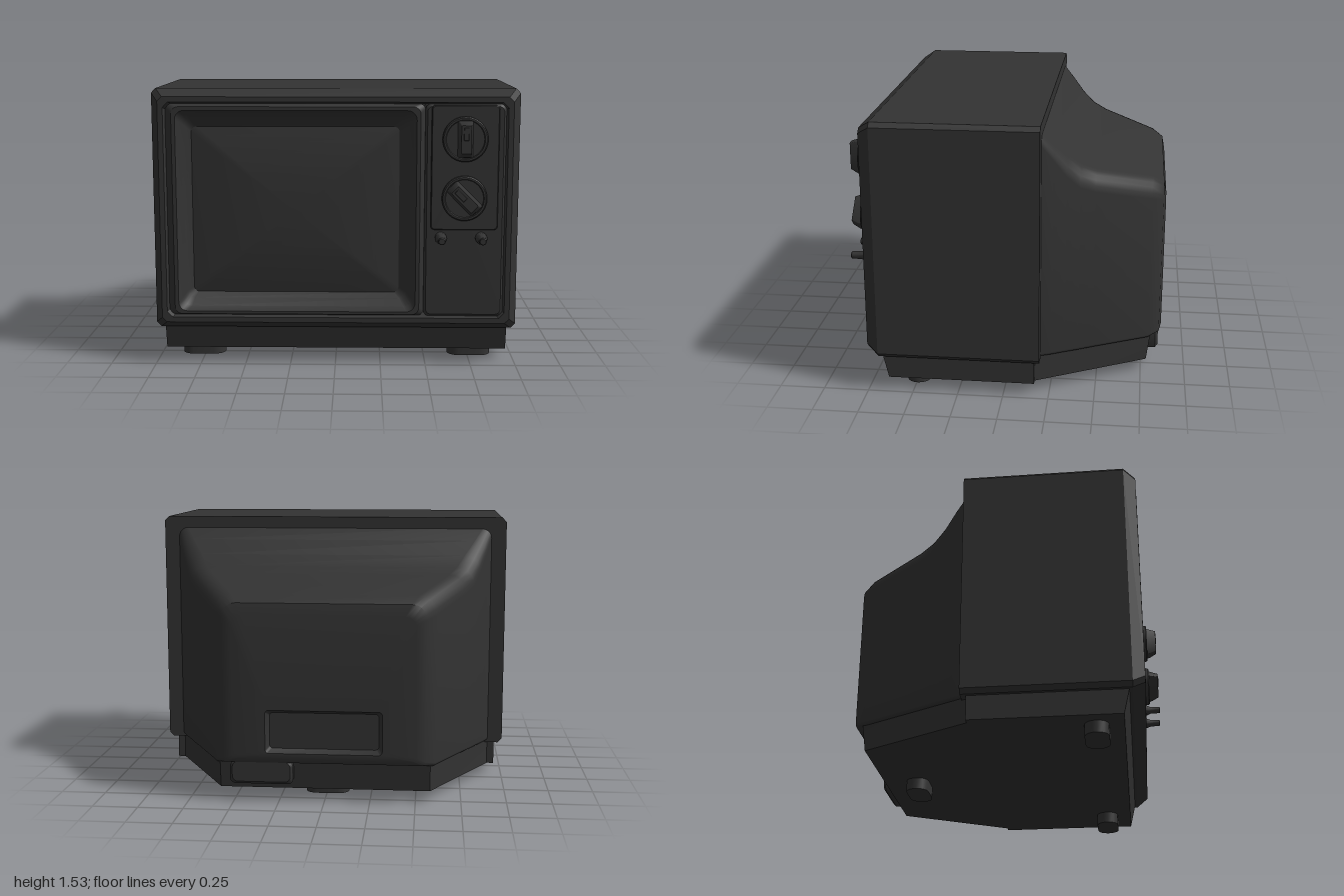
import * as THREE from 'three';
import { toCreasedNormals } from 'three/addons/utils/BufferGeometryUtils.js';

const material = new THREE.MeshStandardMaterial({ color: 0x333333 });

function mesh(name, geometry, parent) {
  const m = new THREE.Mesh(geometry, material);
  m.name = name;
  parent.add(m);
  return m;
}

// Rounded rectangle facing +z, counter-clockwise; rb is the bottom corner radius
function ring(x0, x1, y0, y1, z, r, rb = r, seg = 5) {
  const pts = [];
  const corners = [[x1 - rb, y0 + rb, rb, -90], [x1 - r, y1 - r, r, 0],
    [x0 + r, y1 - r, r, 90], [x0 + rb, y0 + rb, rb, 180]];
  for (const [cx, cy, rad, start] of corners) {
    for (let i = 0; i <= seg; i++) {
      const a = THREE.MathUtils.degToRad(start + 90 * i / seg);
      pts.push(new THREE.Vector3(cx + rad * Math.cos(a), cy + rad * Math.sin(a), z));
    }
  }
  return pts;
}

// Skin through matching rings, optionally closed at either end
function loft(rings, capStart = true, capEnd = true, crease = 0.5) {
  const pos = [];
  const tri = (...v) => v.forEach((p) => pos.push(p.x, p.y, p.z));
  const n = rings[0].length;
  for (let k = 0; k < rings.length - 1; k++) {
    const a = rings[k], b = rings[k + 1];
    for (let i = 0; i < n; i++) {
      const j = (i + 1) % n;
      tri(a[i], a[j], b[j]);
      tri(a[i], b[j], b[i]);
    }
  }
  const cap = (r, flip) => {
    const c = r.reduce((s, p) => s.add(p), new THREE.Vector3()).divideScalar(n);
    for (let i = 0; i < n; i++) {
      const j = (i + 1) % n;
      if (flip) tri(c, r[j], r[i]); else tri(c, r[i], r[j]);
    }
  };
  if (capStart) cap(rings[0], true);
  if (capEnd) cap(rings[rings.length - 1], false);
  const g = new THREE.BufferGeometry();
  g.setAttribute('position', new THREE.Float32BufferAttribute(pos, 3));
  return toCreasedNormals(g, crease);
}

// Raised plate with bevelled front edge
function plate(x0, x1, y0, y1, z0, z1, r, b) {
  return loft([ring(x0, x1, y0, y1, z0, r), ring(x0, x1, y0, y1, z1 - b, r),
    ring(x0 + b, x1 - b, y0 + b, y1 - b, z1, r)]);
}

export function createModel() {
  const tv = new THREE.Group();
  tv.name = 'television';

  // Cabinet: chamfered front edge, then a lip and the front recess
  const cab = (d, z, r) => ring(-1 + d, 1 - d, 0.2 + d, 1.53 - d, z, r, r, 1);
  mesh('cabinet', loft([cab(0, -0.2, 0.025), cab(0, 0.69, 0.025), cab(0.042, 0.755, 0.025),
    cab(0.07, 0.755, 0.03), cab(0.08, 0.73, 0.03), cab(0.08, 0.6, 0.03)], true, true, 0.3), tv);

  // Rear housing: starts at the floor of the hand recess and widens towards the cabinet
  const housing = [
    ring(-0.30, 0.30, 0.30, 0.50, -0.82, 0.02),
    ring(-0.32, 0.32, 0.28, 0.52, -0.86, 0.02),
  ];
  const stations = [ // z, half width, bottom, top, top radius
    [-0.86, 0.50, 0.25, 1.04, 0.06], [-0.847, 0.555, 0.225, 1.105, 0.08],
    [-0.785, 0.61, 0.21, 1.145, 0.1], [-0.48, 0.77, 0.21, 1.225, 0.1],
    [-0.40, 0.815, 0.21, 1.26, 0.1], [-0.33, 0.85, 0.21, 1.32, 0.09],
    [-0.26, 0.888, 0.21, 1.40, 0.07], [-0.19, 0.92, 0.21, 1.475, 0.05]];
  for (const [z, w, y0, y1, r] of stations) housing.push(ring(-w, w, y0, y1, z, r, 0.02));
  mesh('rearHousing', loft(housing, true, true, 0.7), tv);

  // Plinth that follows the taper of the housing
  const plan = (y, front, back) => {
    const half = [[0.955, front], [0.955, -0.17], [0.915, -0.17], [0.58, back]];
    const other = half.map(([x, z]) => [-x, z]).reverse();
    return [...half, ...other].map(([x, z]) => new THREE.Vector3(x, y, z));
  };
  mesh('plinth', loft([plan(0.065, 0.64, -0.78), plan(0.215, 0.675, -0.80)], true, true, 0.1), tv);

  // Cable block under the back edge
  const block = (z, d) => ring(0.17 + d, 0.52 - d, 0.1 + d, 0.225, z, 0.03);
  mesh('cableBlock', loft([block(-0.845, 0.015), block(-0.83, 0), block(-0.7, 0)]), tv);

  // Feet: two in front, one behind
  for (const [x, z] of [[-0.76, 0.495], [0.76, 0.495], [0, -0.585]]) {
    const foot = mesh('foot', loft([ring(-0.122, 0.122, -0.065, 0.065, 0, 0.064),
      ring(-0.122, 0.122, -0.065, 0.065, 0.08, 0.064)]), tv);
    foot.rotation.x = -Math.PI / 2;
    foot.position.set(x, 0, z);
  }

  // Screen surround sloping in to the glass
  mesh('screenBezel', loft([
    ring(-0.92, 0.485, 0.28, 1.45, 0.6, 0.03),
    ring(-0.92, 0.485, 0.28, 1.45, 0.73, 0.03),
    ring(-0.885, 0.46, 0.29, 1.435, 0.757, 0.04),
    ring(-0.865, 0.44, 0.305, 1.415, 0.757, 0.05),
    ring(-0.845, 0.425, 0.325, 1.395, 0.715, 0.05),
    ring(-0.82, 0.39, 0.365, 1.36, 0.685, 0.04),
    ring(-0.79, 0.35, 0.395, 1.32, 0.665, 0.03),
  ], false, false), tv);

  // Bulging screen glass
  const glass = [];
  for (let i = 0; i <= 8; i++) {
    const s = 1 - i / 8.5;
    glass.push(ring(-0.22 - 0.57 * s, -0.22 + 0.57 * s, 0.8575 - 0.4625 * s, 0.8575 + 0.4625 * s,
      0.665 + 0.045 * (1 - s * s), 0.03 * s));
  }
  mesh('screenGlass', loft(glass, false, true, 0.8), tv);

  // Control panel and its raised tuner plate
  mesh('controlPanel', plate(0.485, 0.92, 0.28, 1.45, 0.6, 0.748, 0.03, 0.012), tv);
  mesh('tunerPlate', plate(0.518, 0.88, 0.77, 1.445, 0.74, 0.776, 0.02, 0.004), tv);

  // Tuning dials with tapered grips
  for (const [y, angle] of [[1.265, 0], [0.945, Math.PI / 4]]) {
    const dial = new THREE.Group();
    dial.name = 'tuningDial';
    dial.position.set(0.697, y, 0.77);
    dial.rotation.z = angle;
    const profile = [[0.122, 0], [0.122, 0.024], [0.116, 0.03], [0.106, 0.03], [0.102, 0.024], [0, 0.024]];
    const disc = new THREE.LatheGeometry(profile.map(([r, h]) => new THREE.Vector2(r, h)), 40);
    mesh('dialDisc', toCreasedNormals(disc, 0.5), dial).rotation.x = Math.PI / 2;
    mesh('dialGrip', loft([ring(-0.042, 0.042, -0.1, 0.1, 0.02, 0.01),
      ring(-0.035, 0.035, -0.092, 0.092, 0.05, 0.01),
      ring(-0.027, 0.027, -0.07, 0.08, 0.09, 0.006)], false), dial);
    mesh('dialPointer', plate(-0.014, 0.014, 0, 0.07, 0.085, 0.093, 0.004, 0.002), dial);
    tv.add(dial);
  }

  // Small push-pull knobs
  const stem = [[0.032, 0], [0.032, 0.03], [0.022, 0.055], [0.02, 0.112], [0.016, 0.116], [0, 0.116]];
  for (const x of [0.575, 0.795]) {
    const g = new THREE.LatheGeometry(stem.map(([r, h]) => new THREE.Vector2(r, h)), 24);
    const knob = mesh('smallKnob', toCreasedNormals(g, 0.5), tv);
    knob.rotation.x = Math.PI / 2;
    knob.position.set(x, 0.722, 0.745);
  }
  return tv;
}
